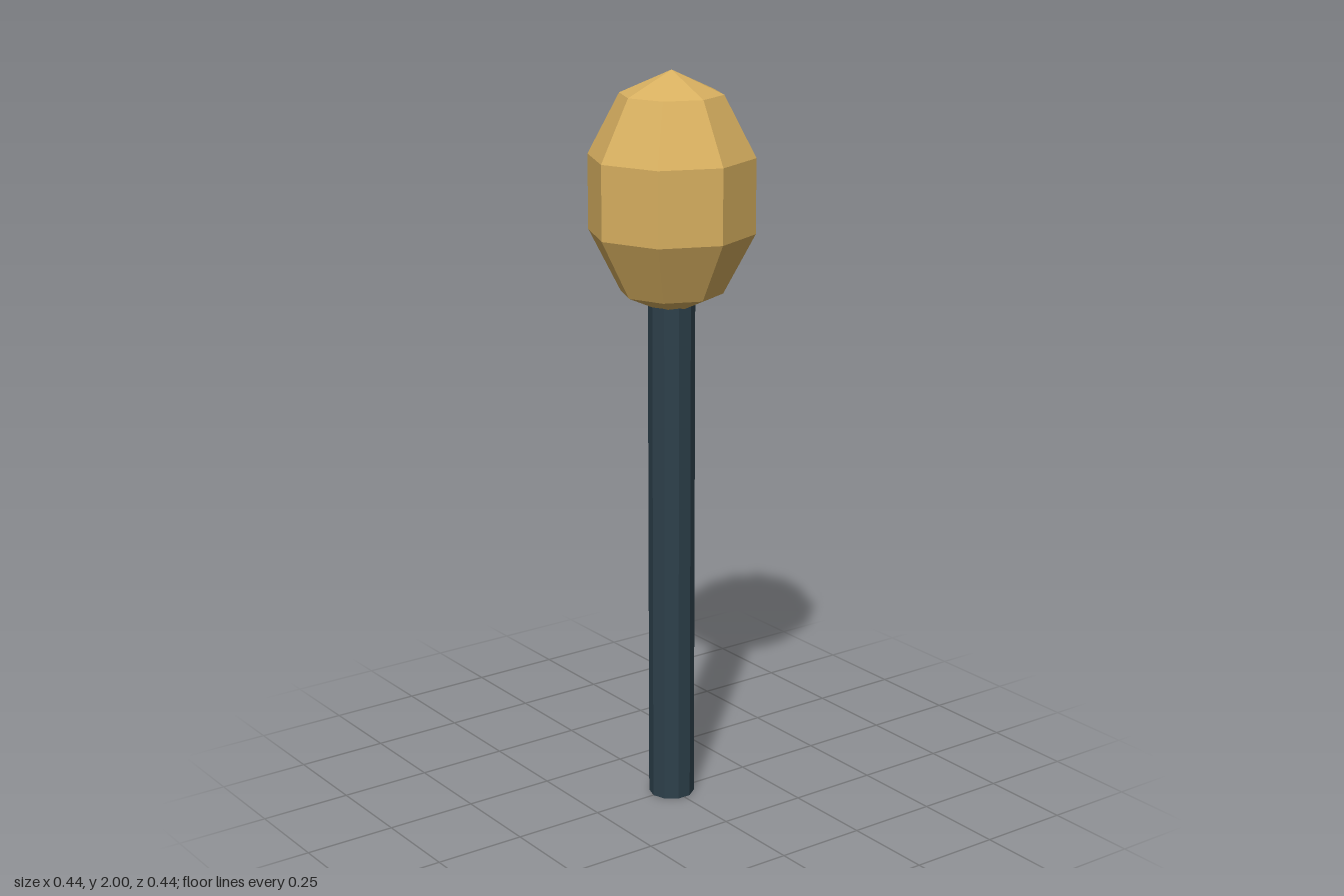
import * as THREE from 'three';

export function createModel() {
  const group = new THREE.Group();
  const brass = new THREE.MeshStandardMaterial({ name: 'brass', color: 0xd8b060, flatShading: true });
  const darkSteel = new THREE.MeshStandardMaterial({ name: 'darkSteel', color: 0x2d404b, flatShading: true });

  // Straight shaft standing on the ground, its top sunk into the head
  const shaftHeight = 1.4;
  const shaft = new THREE.Mesh(new THREE.CylinderGeometry(0.062, 0.062, shaftHeight, 10), darkSteel);
  shaft.name = 'shaft';
  shaft.position.y = shaftHeight / 2;
  group.add(shaft);

  // Faceted egg-shaped head: a low-poly sphere stretched upward
  const headGeometry = new THREE.SphereGeometry(1, 8, 5);
  headGeometry.scale(0.231, 0.32, 0.231);
  const head = new THREE.Mesh(headGeometry, brass);
  head.name = 'head';
  head.position.y = 1.68;
  group.add(head);

  return group;
}
